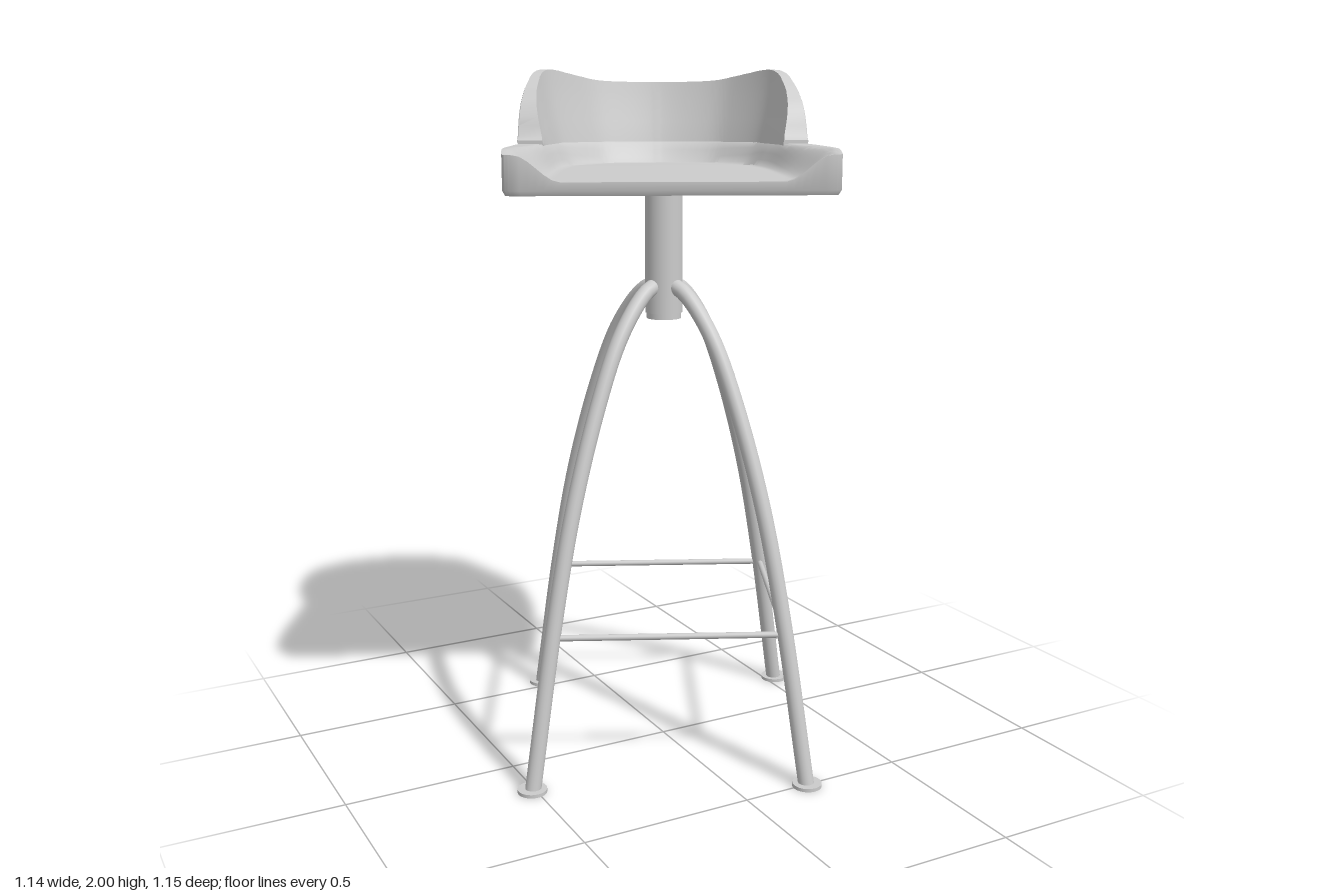
import * as THREE from 'three';
import { toCreasedNormals } from 'three/addons/utils/BufferGeometryUtils.js';

const material = new THREE.MeshStandardMaterial({ color: 0xcccccc });
const smooth = THREE.MathUtils.smoothstep;
const lerp = THREE.MathUtils.lerp;

function addMesh(parent, name, geometry, x = 0, y = 0, z = 0) {
  const mesh = new THREE.Mesh(geometry, material);
  mesh.name = name;
  mesh.position.set(x, y, z);
  parent.add(mesh);
  return mesh;
}

// Skin a list of closed loops, all with the same number of [x, y, z] points
function loft(loops, crease) {
  const n = loops[0].length, index = [];
  for (let i = 0; i < loops.length - 1; i++) {
    for (let j = 0; j < n; j++) {
      const a = i * n + j, b = i * n + (j + 1) % n;
      index.push(a, a + n, b, b, a + n, b + n);
    }
  }
  const geometry = new THREE.BufferGeometry();
  geometry.setAttribute('position', new THREE.Float32BufferAttribute(loops.flat(2), 3));
  geometry.setIndex(index);
  return toCreasedNormals(geometry, crease);
}

// Seat plan: half of the curved edge [x, z] from back centre to front corner, mirrored
const half = [[0.11, -0.452], [0.204, -0.418], [0.265, -0.37], [0.352, -0.255], [0.393, -0.12],
  [0.413, -0.015], [0.428, 0.15], [0.437, 0.28], [0.437, 0.41], [0.431, 0.448], [0.412, 0.456]];
const edgePoints = [...half.map(([x, z]) => [-x, z]).reverse(), [0, -0.466], ...half]
  .map(([x, z]) => new THREE.Vector3(x, 0, z));
const sideEdge = new THREE.CatmullRomCurve3(edgePoints, false, 'centripetal').getPoints(220);

// Height of the dished seat: raised rim along the sides and back, open at the front
function seatHeight(x, z) {
  let d = Infinity;
  for (const p of sideEdge) d = Math.min(d, Math.hypot(p.x - x, p.z - z));
  const front = smooth(z, -0.05, 0.45);
  const rimWidth = lerp(0.066, 0.004, front);
  const slopeWidth = lerp(0.05, 0.12, front);
  const rim = 1.79 - 0.012 * smooth(z, 0.35, 0.46);
  const floor = lerp(1.722, 1.71, smooth(z, -0.2, 0.45));
  return lerp(rim, floor, smooth(d, rimWidth, rimWidth + slopeWidth));
}

function seatGeometry() {
  const outline = sideEdge.map(p => [p.x, p.z]);
  for (let i = 1; i < 40; i++) outline.push([lerp(0.412, -0.412, i / 40), 0.456]);
  const bottom = s => outline.map(([x, z]) => [x * s, 1.675, z * s]);
  const top = s => outline.map(([x, z]) => [x * s, seatHeight(x * s, z * s), z * s]);
  const loops = [bottom(0), bottom(0.5), bottom(0.985),
    outline.map(([x, z]) => [x, 1.688, z])];
  for (let i = 0; i <= 36; i++) loops.push(top(1 - Math.pow(i / 36, 1.4)));
  return loft(loops, 0.7);
}

// Curved backrest: low at the centre, high at the shoulders, falling to the seat at its ends
function backrestGeometry() {
  const profile = [[-0.466, 1.965], [-0.43, 1.969], [-0.377, 1.982], [-0.27, 2], [-0.2, 1.988],
    [-0.1, 1.93], [-0.05, 1.87], [-0.025, 1.81], [-0.01, 1.797]];
  const heightCurve = new THREE.CatmullRomCurve3(
    profile.map(([z, y]) => new THREE.Vector3(z, y, 0)), false, 'centripetal').getPoints(200);
  const topAt = z => heightCurve.reduce((best, p) =>
    Math.abs(p.x - z) < Math.abs(best.x - z) ? p : best).y;
  const inset = y => 0.025 + 0.047 * Math.pow(1 - Math.min(1, Math.max(0, (y - 1.79) / 0.21)), 1.2);
  const base = 1.785, loops = [];
  sideEdge.forEach((p, i) => {
    if (p.z > -0.015) return;
    const t = sideEdge[i + 1].clone().sub(sideEdge[i - 1]).normalize();
    const at = (d, y) => [p.x - t.z * d, y, p.z + t.x * d];
    const top = topAt(p.z);
    const section = [];
    for (let k = 0; k <= 6; k++) {
      const y = lerp(base, top, k / 6);
      section.push(at(inset(y), y));
    }
    section.push(at(-0.001, top), at(-0.003, top - 0.004), at(-0.003, 1.797), at(0.002, base));
    loops.push(section);
  });
  // Close both ends
  const cap = loop => {
    const c = [0, 1, 2].map(k => loop.reduce((sum, p) => sum + p[k], 0) / loop.length);
    return loop.map(() => c);
  };
  return loft([cap(loops[0]), ...loops, cap(loops[loops.length - 1])], 0.6);
}

export function createModel() {
  const model = new THREE.Group();
  model.name = 'barStool';
  model.position.set(0, 0, 0);
  const stool = new THREE.Group();
  stool.name = 'stool';
  stool.position.set(0.01, 0, -0.015);
  model.add(stool);

  // Swivelled seat with backrest and mounting plate
  const seatGroup = new THREE.Group();
  seatGroup.name = 'swivelSeat';
  seatGroup.rotation.y = -0.434;
  stool.add(seatGroup);
  addMesh(seatGroup, 'seat', seatGeometry());
  addMesh(seatGroup, 'backrest', backrestGeometry());
  addMesh(seatGroup, 'mountingPlate', new THREE.BoxGeometry(0.436, 0.012, 0.436), 0, 1.67, 0);

  // Central column
  addMesh(stool, 'column', new THREE.CylinderGeometry(0.054, 0.054, 0.36, 40), 0, 1.49, 0);
  addMesh(stool, 'columnCap', new THREE.CylinderGeometry(0.05, 0.05, 0.02, 40), 0, 1.303, 0);

  // Four bowed legs with feet, joined by a square of thin rails
  const legPath = new THREE.CatmullRomCurve3([[0.025, 1.39], [0.06, 1.382], [0.105, 1.35],
    [0.19, 1.245], [0.28, 1.06], [0.38, 0.78], [0.46, 0.46], [0.55, 0.005]]
    .map(([x, y]) => new THREE.Vector3(x, y, 0)));
  const legGeometry = new THREE.TubeGeometry(legPath, 60, 0.023, 18);
  const footGeometry = new THREE.CylinderGeometry(0.042, 0.042, 0.01, 32);
  const railRadius = 0.465;
  const railGeometry = new THREE.CylinderGeometry(0.009, 0.009, railRadius * Math.SQRT2, 12);
  for (let i = 0; i < 4; i++) {
    const legGroup = new THREE.Group();
    legGroup.name = 'legAssembly';
    legGroup.rotation.y = 0.344 + i * Math.PI / 2;
    stool.add(legGroup);
    addMesh(legGroup, 'leg', legGeometry);
    addMesh(legGroup, 'foot', footGeometry, 0.553, 0.005, 0);
    const rail = addMesh(legGroup, 'footRail', railGeometry, railRadius / 2, 0.435, railRadius / 2);
    rail.rotation.set(Math.PI / 2, 0, Math.PI / 4);
  }
  return model;
}
